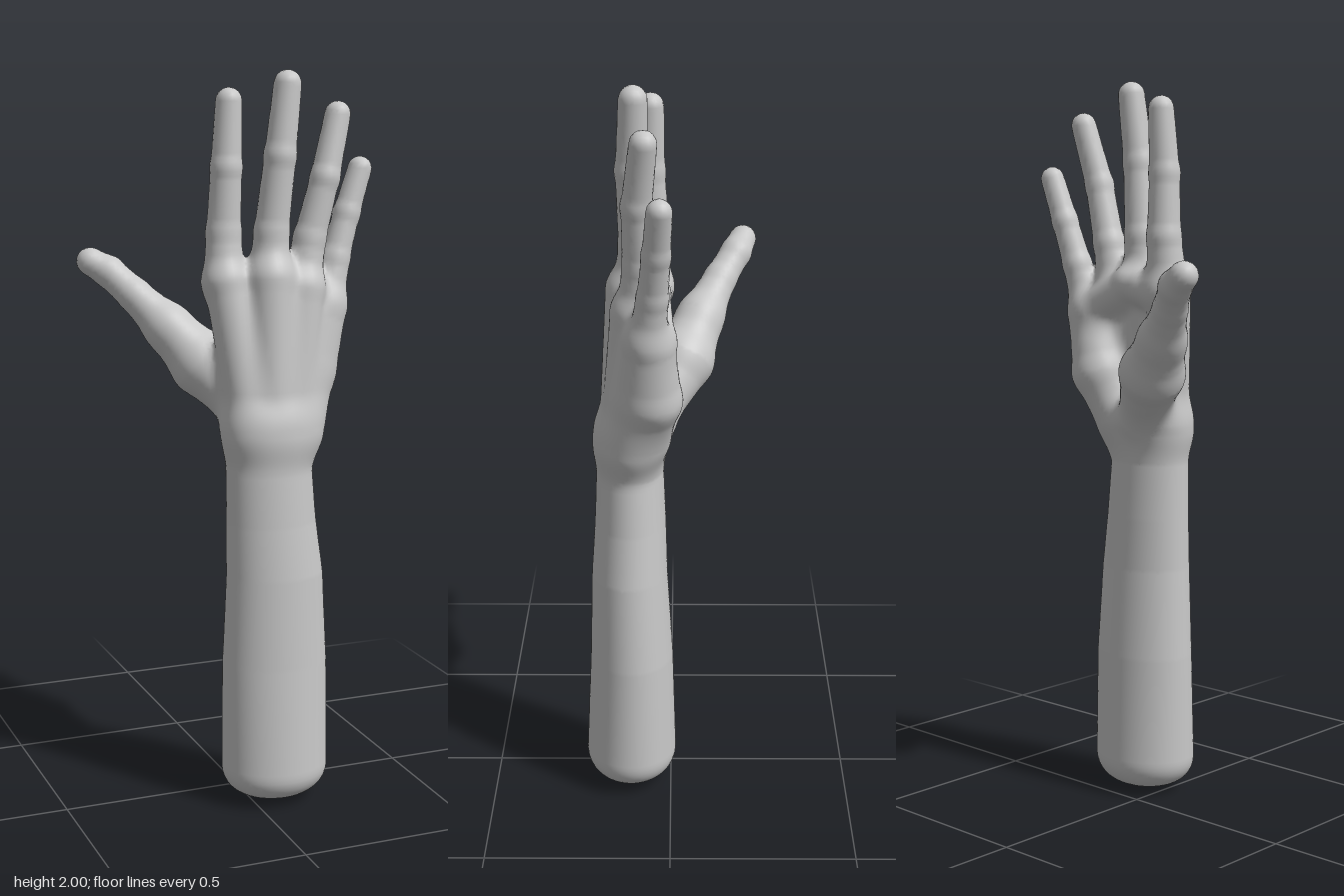
import * as THREE from 'three';

// Each limb is a chain of joints [x, y, z, radius]; all are blended into one smooth skin.
const palmChains = [
  [[0.0, 1.05, 0.125, 0.06], [-0.055, 1.45, 0.072, 0.058]],
  [[0.05, 1.04, 0.135, 0.06], [0.057, 1.46, 0.108, 0.064]],
  [[0.1, 1.04, 0.13, 0.06], [0.155, 1.43, 0.098, 0.058]],
  [[0.14, 1.05, 0.11, 0.062], [0.236, 1.38, 0.065, 0.053]],
  // pads under the fingers
  [[-0.05, 1.43, 0.04, 0.048], [0.07, 1.45, 0.052, 0.05], [0.2, 1.38, 0.04, 0.05]],
  // thumb muscle
  [[0.02, 1.1, 0.05, 0.065], [-0.085, 1.22, -0.03, 0.088], [-0.165, 1.315, -0.08, 0.062]],
  // heel on the little finger side
  [[0.13, 1.08, 0.075, 0.07], [0.185, 1.2, 0.05, 0.08], [0.222, 1.35, 0.05, 0.062]],
];
const digits = {
  thumb: [[-0.165, 1.315, -0.08, 0.062], [-0.243, 1.402, -0.135, 0.045],
    [-0.30, 1.462, -0.18, 0.042], [-0.346, 1.49, -0.2, 0.038]],
  indexFinger: [[-0.056, 1.46, 0.06, 0.055], [-0.054, 1.58, 0.05, 0.046],
    [-0.049, 1.75, 0.057, 0.041], [-0.04, 1.92, 0.053, 0.035]],
  middleFinger: [[0.06, 1.46, 0.095, 0.057], [0.066, 1.58, 0.09, 0.046],
    [0.086, 1.78, 0.1, 0.042], [0.108, 1.963, 0.095, 0.037]],
  ringFinger: [[0.155, 1.43, 0.085, 0.054], [0.181, 1.56, 0.08, 0.043],
    [0.222, 1.72, 0.085, 0.039], [0.265, 1.884, 0.067, 0.035]],
  littleFinger: [[0.24, 1.38, 0.06, 0.05], [0.272, 1.5, 0.045, 0.04],
    [0.31, 1.62, 0.035, 0.036], [0.351, 1.738, 0.027, 0.033]],
};
const digitEntries = Object.entries(digits);

// Forearm sections: y, centre x, centre z, half width, half depth
const forearm = [
  [0.08, 0.072, 0.113, 0.15, 0.128], [0.4, 0.072, 0.11, 0.148, 0.116],
  [0.65, 0.07, 0.114, 0.136, 0.105], [0.8, 0.06, 0.111, 0.126, 0.098],
  [0.95, 0.053, 0.111, 0.12, 0.092], [1.06, 0.052, 0.102, 0.124, 0.094],
];

const smoothMin = (a, b, k) => {
  const h = Math.max(k - Math.abs(a - b), 0) / k;
  return Math.min(a, b) - h * h * k * 0.25;
};
const smoothMax = (a, b, k) => -smoothMin(-a, -b, k);

function forearmDistance(x, y, z) {
  let i = 0;
  while (i < forearm.length - 2 && y > forearm[i + 1][0]) i++;
  const [p, q] = [forearm[i], forearm[i + 1]];
  const t = THREE.MathUtils.clamp((y - p[0]) / (q[0] - p[0]), 0, 1);
  const mix = (n) => p[n] + (q[n] - p[n]) * t;
  const a = mix(3), b = mix(4);
  const r = Math.hypot((x - mix(1)) / a, (z - mix(2)) / b);
  const side = (r - 1) * Math.min(a, b);
  const base = 0.035 * r - y;
  return smoothMax(smoothMax(side, base, 0.07), y - 1.1, 0.06);
}

function chainDistance(chain, x, y, z) {
  let best = 1e3;
  for (let i = 0; i < chain.length - 1; i++) {
    const a = chain[i], b = chain[i + 1];
    const dx = b[0] - a[0], dy = b[1] - a[1], dz = b[2] - a[2];
    const px = x - a[0], py = y - a[1], pz = z - a[2];
    const t = Math.min(1, Math.max(0,
      (px * dx + py * dy + pz * dz) / (dx * dx + dy * dy + dz * dz)));
    const d = Math.hypot(px - dx * t, py - dy * t, pz - dz * t) - a[3] - (b[3] - a[3]) * t;
    best = smoothMin(best, d, 0.012);
  }
  return best;
}

function palmDistance(x, y, z) {
  let d = 1e3;
  for (const chain of palmChains) d = smoothMin(d, chainDistance(chain, x, y, z), 0.035);
  return d;
}

function skin(x, y, z) {
  let d = smoothMin(forearmDistance(x, y, z), palmDistance(x, y, z), 0.06);
  for (const [, chain] of digitEntries) d = smoothMin(d, chainDistance(chain, x, y, z), 0.028);
  return d;
}

// Name of the part that a point on the skin belongs to
function partAt(x, y, z) {
  let name = 'forearm', best = forearmDistance(x, y, z);
  const test = (n, d) => { if (d < best) { best = d; name = n; } };
  test('palm', palmDistance(x, y, z));
  for (const [n, chain] of digitEntries) test(n, chainDistance(chain, x, y, z));
  return name;
}

function gradient(p) {
  const e = 0.002, [x, y, z] = p;
  return new THREE.Vector3(
    skin(x + e, y, z) - skin(x - e, y, z),
    skin(x, y + e, z) - skin(x, y - e, z),
    skin(x, y, z + e) - skin(x, y, z - e)).divideScalar(2 * e);
}

// Wraps a quad net around the blended limbs and sorts its faces by part
function buildSkin() {
  const cell = 0.012, min = [-0.42, -0.03, -0.276], size = [70, 174, 46];
  const step = [1, size[0], size[0] * size[1]];
  const values = new Float32Array(size[0] * size[1] * size[2]);
  const at = (i, j, k) => i + j * step[1] + k * step[2];
  const eachCell = (visit) => {
    for (let k = 1; k < size[2] - 1; k++)
      for (let j = 1; j < size[1] - 1; j++)
        for (let i = 1; i < size[0] - 1; i++) visit(i, j, k, at(i, j, k));
  };
  for (let k = 0; k < size[2]; k++)
    for (let j = 0; j < size[1]; j++)
      for (let i = 0; i < size[0]; i++)
        values[at(i, j, k)] = skin(min[0] + i * cell, min[1] + j * cell, min[2] + k * cell);

  // One vertex in every cell that the skin passes through
  const vertexOf = new Map(), positions = [], normals = [];
  eachCell((i, j, k, c) => {
    const sum = [0, 0, 0];
    let count = 0;
    for (let corner = 0; corner < 8; corner++) {
      const o = [corner & 1, (corner >> 1) & 1, corner >> 2];
      const v0 = values[c + o[0] + o[1] * step[1] + o[2] * step[2]];
      for (let a = 0; a < 3; a++) {
        if (o[a]) continue;
        const v1 = values[c + o[0] + o[1] * step[1] + o[2] * step[2] + step[a]];
        if ((v0 < 0) === (v1 < 0)) continue;
        for (let n = 0; n < 3; n++) sum[n] += o[n] + (n === a ? v0 / (v0 - v1) : 0);
        count++;
      }
    }
    if (!count) return;
    const p = [i, j, k].map((n, axis) => min[axis] + (n + sum[axis] / count) * cell);
    const g = gradient(p);
    const move = THREE.MathUtils.clamp(
      skin(...p) / Math.max(g.lengthSq(), 0.1), -cell / 2, cell / 2);
    p[0] -= g.x * move; p[1] -= g.y * move; p[2] -= g.z * move;
    vertexOf.set(c, positions.length / 3);
    positions.push(...p);
    normals.push(...gradient(p).normalize().toArray());
  });

  // One quad around every grid edge that crosses the skin
  const faces = {};
  eachCell((i, j, k, c) => {
    for (let a = 0; a < 3; a++) {
      const inside = values[c] < 0;
      if (inside === values[c + step[a]] < 0) continue;
      const u = step[(a + 1) % 3], v = step[(a + 2) % 3];
      const quad = [c - u - v, c - v, c, c - u].map((n) => vertexOf.get(n));
      if (quad.includes(undefined)) continue;
      if (!inside) quad.reverse();
      const [q0, q1, q2, q3] = quad;
      const part = partAt(...positions.slice(q0 * 3, q0 * 3 + 3));
      (faces[part] ??= []).push(q0, q1, q2, q0, q2, q3);
    }
  });
  return { positions, normals, faces };
}

export function createModel() {
  const group = new THREE.Group();
  group.name = 'handAndForearm';
  const material = new THREE.MeshStandardMaterial({ color: 0xc8c8c8 });
  material.name = 'paleGrey';
  const { positions, normals, faces } = buildSkin();
  for (const [name, index] of Object.entries(faces)) {
    const shared = new THREE.BufferGeometry();
    shared.setAttribute('position', new THREE.Float32BufferAttribute(positions, 3));
    shared.setAttribute('normal', new THREE.Float32BufferAttribute(normals, 3));
    shared.setIndex(index);
    const mesh = new THREE.Mesh(shared.toNonIndexed(), material);
    mesh.name = name;
    group.add(mesh);
  }
  return group;
}
